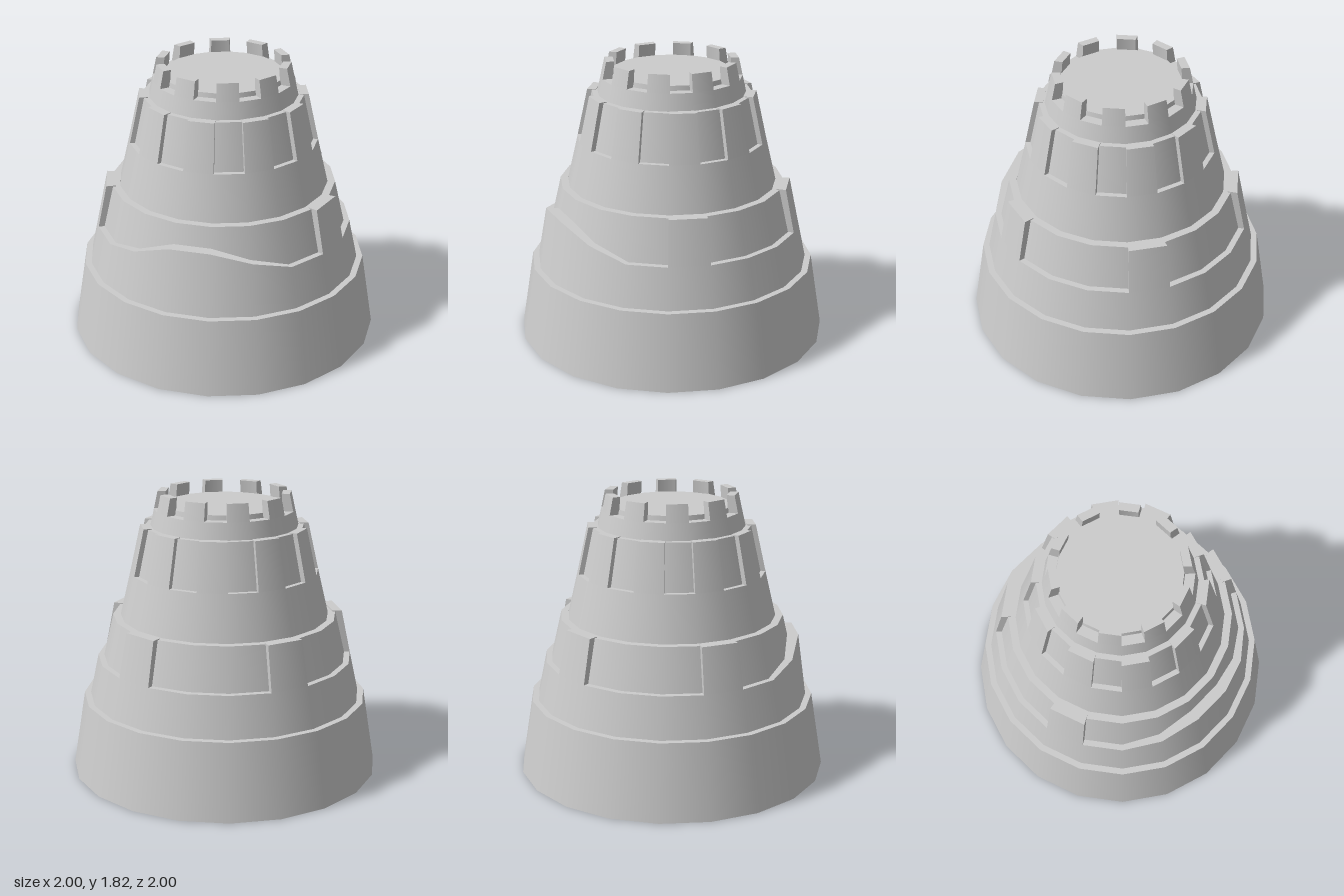
import * as THREE from 'three';
import { mergeGeometries } from 'three/addons/utils/BufferGeometryUtils.js';

const SIDES = 20, STEP = Math.PI * 2 / SIDES;
const material = new THREE.MeshStandardMaterial({ color: 0xcccccc, side: THREE.DoubleSide });

// Revolves each straight piece of a profile on its own, so profile corners stay sharp
function revolve(profile, first = 0, count = SIDES) {
  const parts = [];
  for (let i = 0; i + 1 < profile.length; i++) {
    const pts = [profile[i], profile[i + 1]].map(([r, y]) => new THREE.Vector2(r, y));
    parts.push(new THREE.LatheGeometry(pts, count, first * STEP, count * STEP));
  }
  return mergeGeometries(parts);
}

// Flat end cap of a curved block: a four-point section standing at one angle
function cap(section, column, flip) {
  const s = Math.sin(column * STEP), c = Math.cos(column * STEP);
  const g = new THREE.BufferGeometry();
  g.setAttribute('position', new THREE.Float32BufferAttribute(section.flatMap(([r, y]) => [r * s, y, r * c]), 3));
  g.setAttribute('uv', new THREE.Float32BufferAttribute(new Array(8).fill(0), 2));
  g.setIndex(flip ? [0, 2, 1, 0, 3, 2] : [0, 1, 2, 0, 2, 3]);
  g.computeVertexNormals();
  return g;
}

// One-sector battlement block; section runs outer bottom, outer top, inner top, inner bottom
function block(section, column) {
  return mergeGeometries([
    revolve(section, column, 1),
    cap(section, column, true),
    cap(section, column + 1, false),
  ]);
}

// Raises the second tier's ledge into a mound on the front right
const MOUND = { 16: 0.80, 17: 0.89, 18: 0.89, 19: 0.815 };
function raiseLedge(geometry) {
  const p = geometry.attributes.position;
  for (let i = 0; i < p.count; i++) {
    const x = p.getX(i), z = p.getZ(i);
    if (Math.abs(p.getY(i) - 0.745) > 0.001) continue;
    const column = (Math.round(Math.atan2(x, z) / STEP) + SIDES) % SIDES;
    const y = MOUND[column];
    if (!y) continue;
    const r = Math.hypot(x, z);
    const k = r < 0.81 ? (r - 0.065 * (y - 0.745) / 0.275) / r : 1;
    p.setXYZ(i, x * k, y, z * k);
  }
  return geometry;
}

export function createModel() {
  const tower = new THREE.Group();
  tower.name = 'tower';
  const add = (name, geometry) => {
    const mesh = new THREE.Mesh(geometry, material);
    mesh.name = name;
    tower.add(mesh);
  };

  // Stepped walls, each ending in a narrow ledge
  add('baseTier', revolve([[0, 0], [1, 0], [0.92, 0.485], [0.88, 0.485]]));
  add('secondTier', raiseLedge(revolve([[0.88, 0.485], [0.823, 0.745], [0.785, 0.745], [0.72, 1.02], [0.672, 1.02]])));
  add('thirdTier', revolve([[0.672, 1.015], [0.602, 1.31], [0.57, 1.31], [0.505, 1.605], [0.47, 1.605]]));
  add('topTier', revolve([[0.47, 1.605], [0.446, 1.71], [0.385, 1.71], [0.38, 1.74], [0, 1.74]]));

  // Battlement blocks: section, first sector, sector spacing, count
  const rings = [
    ['secondTierBlock', [[0.823, 0.745], [0.763, 1.026], [0.70, 1.026], [0.76, 0.745]], 1, 4, 4],
    ['thirdTierBlock', [[0.602, 1.31], [0.535, 1.61], [0.48, 1.61], [0.55, 1.31]], 1, 2, 10],
    ['topMerlon', [[0.446, 1.71], [0.422, 1.82], [0.37, 1.82], [0.38, 1.71]], 0, 2, 10],
  ];
  for (const [name, section, first, spacing, count] of rings)
    for (let i = 0; i < count; i++) add(name, block(section, first + i * spacing));

  return tower;
}
